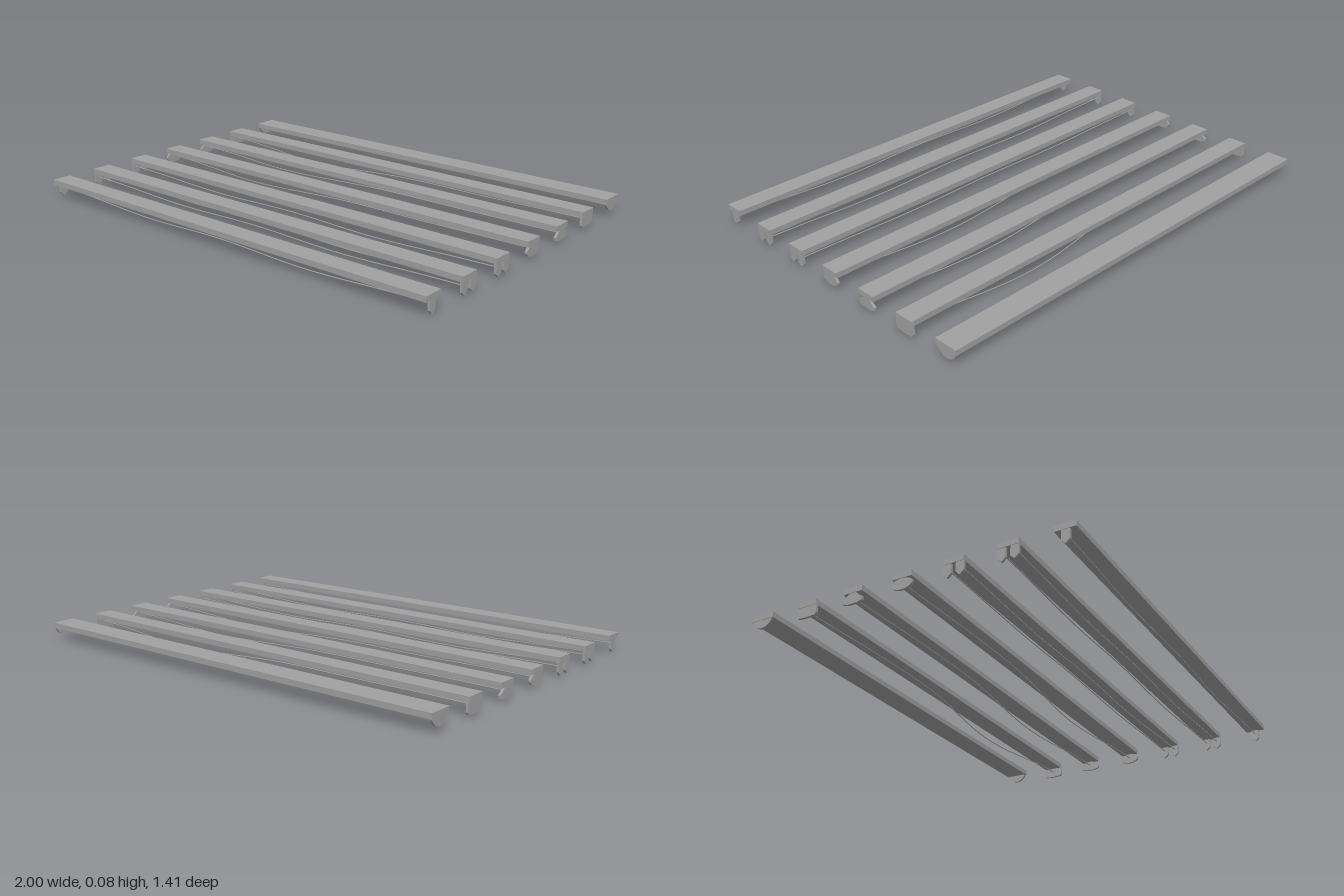
import * as THREE from 'three';

const grey = new THREE.MeshStandardMaterial({ color: 0xa0a0a0 });
grey.name = 'plain grey';

const BOTTOM = 0.055, TOP = 0.078;

function addMesh(parent, geometry, name) {
  const mesh = new THREE.Mesh(geometry, grey);
  mesh.name = name;
  parent.add(mesh);
  return mesh;
}

// End profiles as [z, y] outlines
const prong = (c) => [
  [c - 0.017, BOTTOM], [c - 0.017, 0.016], [c - 0.009, 0.008], [c, 0],
  [c + 0.009, 0.008], [c + 0.017, 0.016], [c + 0.017, BOTTOM],
];
const lens = Array.from({ length: 24 }, (_, i) => {
  const a = (i / 24) * Math.PI * 2;
  return [Math.cos(a) * 0.046, 0.032 + Math.sin(a) * 0.023];
});
const wedge = [
  [-0.015, BOTTOM], [-0.03, 0.04], [-0.046, 0.03], [-0.044, 0.017], [-0.02, 0.01],
  [0.02, 0.01], [0.044, 0.017], [0.046, 0.03], [0.03, 0.04], [0.015, BOTTOM],
];
const plate = [
  [-0.043, TOP], [-0.046, 0.02], [-0.04, 0.012], [0, 0.009],
  [0.04, 0.012], [0.046, 0.02], [0.043, TOP],
];
const halfDisc = Array.from({ length: 17 }, (_, i) => {
  const a = Math.PI + (i / 16) * Math.PI;
  return [Math.cos(a) * 0.053, TOP + Math.sin(a) * 0.058];
});

// Thin end fitting cut from an outline, standing across the rail
function addEnd(parent, outline, side) {
  const shape = new THREE.Shape(outline.map(([z, y]) => new THREE.Vector2(-z, y)));
  const geo = new THREE.ExtrudeGeometry(shape, { depth: 0.01, bevelEnabled: false });
  geo.rotateY(Math.PI / 2);
  geo.translate(side > 0 ? 0.988 : -0.998, 0, 0);
  addMesh(parent, geo, side > 0 ? 'leftEndFitting' : 'rightEndFitting');
}

// Slender strand strung between the end fittings, sagging in two waves
function addStrand(parent, z, sag, sway) {
  const points = Array.from({ length: 25 }, (_, i) => {
    const x = -0.988 + (i / 24) * 1.976;
    const taper = 1 - (x / 0.988) ** 2;
    const wave = 0.7 - 0.3 * Math.cos(x * Math.PI * 2) + 0.12 * x;
    return new THREE.Vector3(x, 0.037 - sag * taper * wave, z - sway * taper * Math.sin(x * 3.1));
  });
  const path = new THREE.CatmullRomCurve3(points);
  addMesh(parent, new THREE.TubeGeometry(path, 80, 0.0025, 6), 'strand');
}

const rails = [
  { z: 0.66, ends: [prong(0)], strands: [[0, 0.027, 0]] },
  { z: 0.44, ends: [prong(-0.026), prong(0.026)], strands: [[-0.026, 0.022, 0], [0.026, 0.022, 0]] },
  { z: 0.22, ends: [prong(-0.026), prong(0.026)], strands: [[-0.026, 0.014, 0], [0.026, 0.022, 0]] },
  { z: 0, ends: [lens], strands: [[0, 0.02, 0.035]] },
  { z: -0.22, ends: [wedge], strands: [[0, 0.016, 0.035]] },
  { z: -0.435, ends: [plate], strands: [[0, 0.024, 0.05]] },
  { z: -0.655, width: 0.104, ends: [halfDisc], strands: [] },
];

export function createModel() {
  const model = new THREE.Group();
  model.name = 'railSet';
  rails.forEach(({ z, width = 0.085, ends, strands }, i) => {
    const rail = new THREE.Group();
    rail.name = `rail${i + 1}`;
    rail.position.z = z;
    // Flat bar along the top
    const bar = addMesh(rail, new THREE.BoxGeometry(2, TOP - BOTTOM, width), 'bar');
    bar.position.y = (TOP + BOTTOM) / 2;
    for (const side of [-1, 1]) {
      for (const outline of ends) addEnd(rail, outline, side);
    }
    for (const strand of strands) addStrand(rail, ...strand);
    model.add(rail);
  });
  return model;
}
